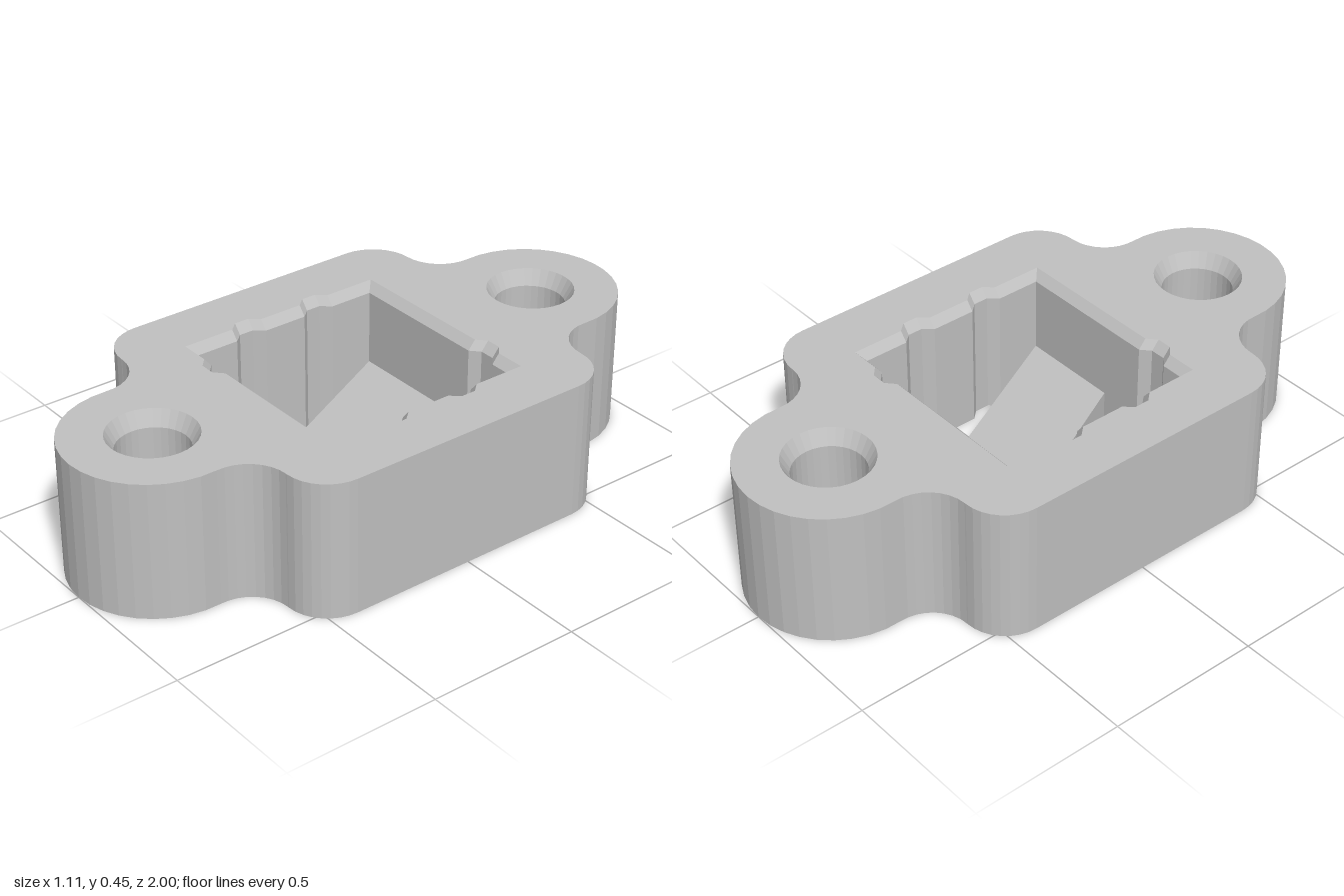
import * as THREE from 'three';

const HEIGHT = 0.45, FLOOR = 0.17;

// Plan loops are counter-clockwise in (x, -z)
const V = (x, p) => new THREE.Vector2(x, p);
const halfTurn = pts => [...pts, ...pts.map(p => V(-p.x, -p.y))];

function arc(cx, cy, r, from, to, steps) {
  return Array.from({ length: steps + 1 }, (_, i) => {
    const a = from + (to - from) * i / steps;
    return V(cx + r * Math.cos(a), cy + r * Math.sin(a));
  });
}

// Body with rounded corners, blended into a round lug at each end
function outerLoop() {
  const q = Math.PI / 2, t = 0.083;
  return halfTurn([
    ...arc(0.415, 0.415, 0.14, 0, q, 8),
    ...arc(0.41, 0.686, 0.131, -q, -Math.PI - t, 8),
    ...arc(0, 0.72, 0.28, -t, Math.PI + t, 18).slice(1),
    ...arc(-0.41, 0.686, 0.131, t, -q, 8).slice(1),
    ...arc(-0.415, 0.415, 0.14, q, Math.PI, 8),
  ]);
}

// Square opening with small notches
function squareLoop(h) {
  const notch = [[-0.055, 0], [-0.025, 0.027], [0.025, 0.027], [0.055, 0]];
  const side = [-0.13, 0.13].flatMap(c => notch.map(([s, d]) => V(h + d, c + s)));
  const end = notch.map(([s, d]) => V(0.205 - s, h + d));
  return halfTurn([V(h, -h), ...side, V(h, h), ...end]);
}

const boltLoop = (c, r) => arc(0, c, r, 0, Math.PI * 2, 32).slice(0, -1);

// Flat-faceted wall through stacked loops; inward turns it to face the hole
function wall(rings, inward = false) {
  const pos = [];
  for (let k = 0; k < rings.length - 1; k++) {
    const [lo, y0] = rings[k], [hi, y1] = rings[k + 1], n = lo.length;
    for (let i = 0; i < n; i++) {
      const j = (i + 1) % n;
      const a = [lo[i].x, y0, -lo[i].y], b = [lo[j].x, y0, -lo[j].y];
      const c = [hi[j].x, y1, -hi[j].y], d = [hi[i].x, y1, -hi[i].y];
      pos.push(...(inward ? [a, c, b, a, d, c] : [a, b, c, a, c, d]).flat());
    }
  }
  const g = new THREE.BufferGeometry();
  g.setAttribute('position', new THREE.Float32BufferAttribute(pos, 3));
  g.computeVertexNormals();
  return g;
}

// Horizontal face with holes
function cap(outer, holes, y, down) {
  const s = new THREE.Shape(outer);
  s.holes = holes.map(h => new THREE.Path(h));
  const g = new THREE.ShapeGeometry(s);
  if (down) {
    const ix = g.index.array;
    for (let i = 0; i < ix.length; i += 3) [ix[i], ix[i + 1]] = [ix[i + 1], ix[i]];
  }
  g.rotateX(-Math.PI / 2).translate(0, y, 0);
  g.computeVertexNormals();
  return g;
}

export function createModel() {
  const group = new THREE.Group();
  const grey = new THREE.MeshStandardMaterial({ color: 0xc0c0c0 });
  grey.name = 'light grey';
  const add = (name, geometry) => {
    const m = new THREE.Mesh(geometry, grey);
    m.name = name;
    group.add(m);
  };

  const outer = outerLoop();
  const squareIn = squareLoop(0.335), squareOut = squareLoop(0.36);
  const ends = [0.722, -0.722];

  // Housing shell
  add('outerWall', wall([[outer, 0], [outer, HEIGHT]]));
  add('topFace', cap(outer, [squareOut, ...ends.map(c => boltLoop(c, 0.14))], HEIGHT, false));
  add('bottomFace', cap(outer, [squareIn, ...ends.map(c => boltLoop(c, 0.113))], 0, true));

  // Openings with chamfered top edges
  add('squareOpening', wall([[squareIn, 0], [squareIn, HEIGHT - 0.03], [squareOut, HEIGHT]], true));
  ends.forEach((c, i) => add(i ? 'frontBoltHole' : 'backBoltHole', wall([
    [boltLoop(c, 0.113), 0], [boltLoop(c, 0.113), HEIGHT - 0.05], [boltLoop(c, 0.14), HEIGHT],
  ], true)));

  // Diagonal bar across the bottom of the square opening
  const h = 0.335;
  const bar = new THREE.ExtrudeGeometry(
    new THREE.Shape([V(-h, h), V(0, -h), V(h, -h), V(0, h)]),
    { depth: FLOOR, bevelEnabled: false });
  add('diagonalBar', bar.rotateX(-Math.PI / 2));

  return group;
}
